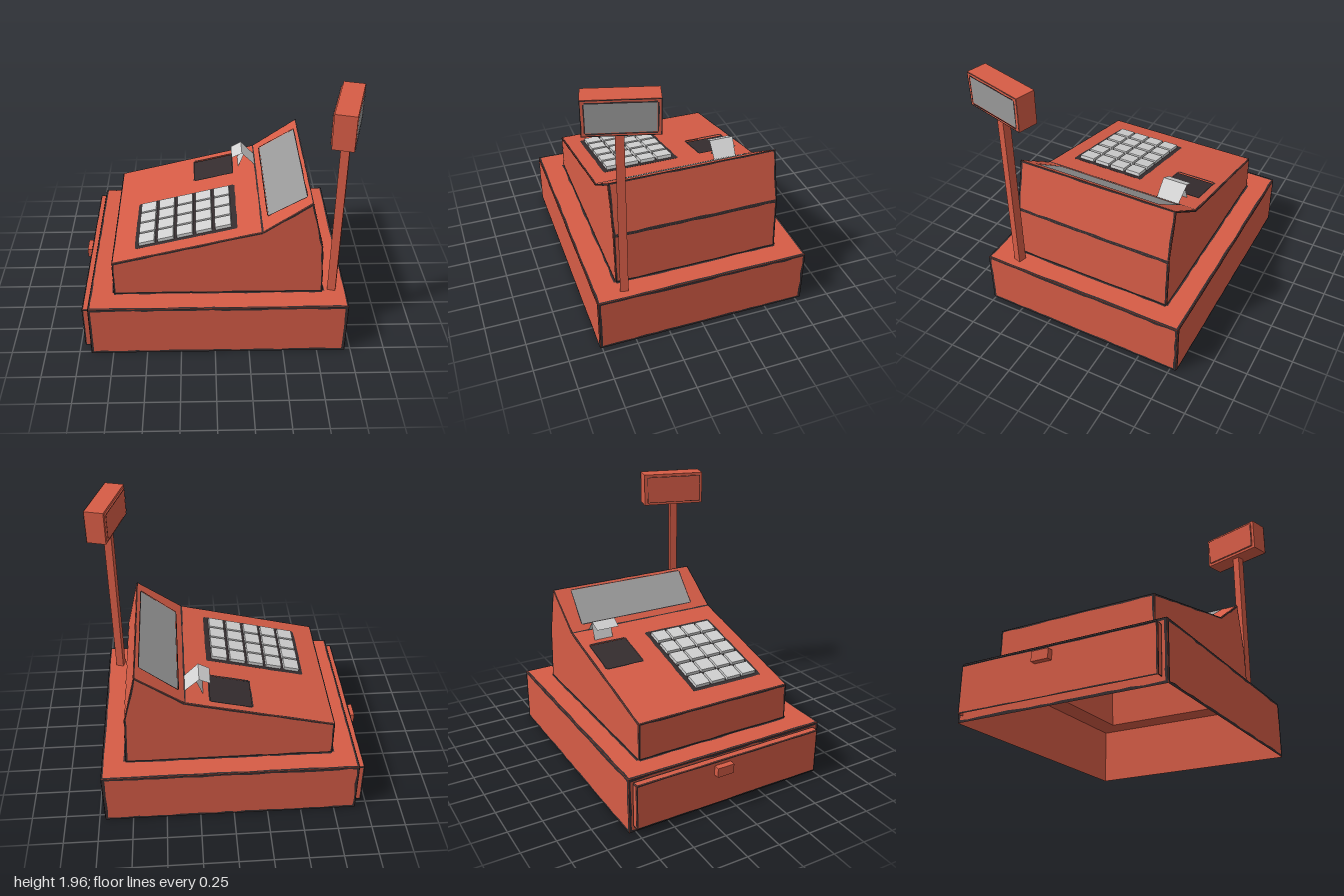
import * as THREE from 'three';

const paint = (name, color) => new THREE.MeshStandardMaterial({ name, color, side: THREE.DoubleSide });
const V = (x, y, z) => new THREE.Vector3(x, y, z);

export function createModel() {
  const root = new THREE.Group();
  root.name = 'cashRegister';
  const red = paint('red', 0xd65c46);
  const dark = paint('charcoal', 0x352d2f);
  const light = paint('lightGrey', 0xd2d2d2);
  const grey = paint('screenGrey', 0x999999);

  let seed = 7;
  const rand = () => (seed = (seed * 16807) % 2147483647) / 2147483647;

  function add(name, geo, mat, parent = root) {
    const m = new THREE.Mesh(geo, mat);
    m.name = name;
    parent.add(m);
    return m;
  }

  // Outward normal of a planar polygon
  function normalOf(pts) {
    const n = V(0, 0, 0);
    pts.forEach((p, i) => n.add(p.clone().cross(pts[(i + 1) % pts.length])));
    return n.normalize();
  }

  // Flat polygon in space, with optional holes
  function panel(name, pts, mat = red, holes = [], parent = root) {
    const n = normalOf(pts), u = pts[1].clone().sub(pts[0]).normalize(), v = n.clone().cross(u);
    const flat = (list) => list.map((p) => {
      const d = p.clone().sub(pts[0]);
      return new THREE.Vector2(d.dot(u), d.dot(v));
    });
    const shape = new THREE.Shape(flat(pts));
    shape.holes = holes.map((h) => new THREE.Path(flat(h)));
    const geo = new THREE.ShapeGeometry(shape);
    geo.applyMatrix4(new THREE.Matrix4().makeBasis(u, v, n).setPosition(pts[0]));
    return add(name, geo, mat, parent);
  }

  // Ragged dark line just inside (or, with negative width, outside) each edge
  function outline(name, pts, width = 0.016, parent = root) {
    const n = normalOf(pts), pos = [], idx = [];
    pts.forEach((a, k) => {
      const b = pts[(k + 1) % pts.length];
      const dir = b.clone().sub(a);
      const steps = Math.max(2, Math.round(dir.length() / 0.08));
      const inward = n.clone().cross(dir).normalize();
      for (let i = 0; i <= steps; i++) {
        const p = a.clone().addScaledVector(dir, i / steps).addScaledVector(n, 0.003);
        const q = p.clone().addScaledVector(inward, width * (0.7 + 0.6 * rand()));
        const o = pos.length / 3;
        pos.push(...p.toArray(), ...q.toArray());
        if (i < steps) idx.push(o, o + 2, o + 1, o + 2, o + 3, o + 1);
      }
    });
    const geo = new THREE.BufferGeometry();
    geo.setAttribute('position', new THREE.Float32BufferAttribute(pos, 3));
    geo.setIndex(idx);
    geo.computeVertexNormals();
    add(name, geo, dark, parent);
  }

  function edged(name, pts, width, holes, parent) {
    panel(name, pts, red, holes, parent);
    outline(name + 'Outline', pts, width, parent);
  }

  // Rectangle at a height, counter-clockwise from above
  const flatRect = (x0, x1, z0, z1, y) =>
    [[x0, z1], [x1, z1], [x1, z0], [x0, z0]].map(([x, z]) => V(x, typeof y === 'function' ? y(x) : y, z));

  // Four upright walls, outlined
  function walls(name, x0, x1, z0, z1, y0, y1, width, parent) {
    const c = [[x0, z1], [x1, z1], [x1, z0], [x0, z0]];
    c.forEach(([ax, az], i) => {
      const [bx, bz] = c[(i + 1) % 4];
      edged(name + 'Wall', [V(ax, y0, az), V(bx, y0, bz), V(bx, y1, bz), V(ax, y1, az)], width, [], parent);
    });
  }

  // Base: open underneath, with an opening below the body
  const deck = 0.415, zb = -0.625, zf = 0.585;
  const foot = flatRect(-0.735, 0.785, zb, zf, deck);
  walls('base', -0.91, 0.955, -0.795, 0.762, 0, deck, 0.018);
  edged('baseTop', flatRect(-0.91, 0.955, -0.795, 0.762, deck), 0.012, [foot]);
  outline('bodyFootOutline', foot, -0.016);

  // Drawer and its pull
  walls('drawer', -0.957, -0.91, -0.76, 0.72, 0.045, 0.38, 0.008);
  edged('drawerTop', flatRect(-0.957, -0.91, -0.76, 0.72, 0.38), 0.006);
  add('drawerPull', new THREE.BoxGeometry(0.045, 0.07, 0.13), red).position.set(-0.978, 0.315, -0.095);

  // Body: walls swept along the side profile
  const profile = [[-0.735, deck], [-0.735, 0.69], [0.335, 0.95], [0.675, 1.19], [0.765, 0.81], [0.785, deck]];
  const tilt = Math.atan2(0.26, 1.07);
  const slopeY = (x) => 0.69 + (x + 0.735) * 0.26 / 1.07;
  const keyHole = [-0.565, 0.155, -0.09, 0.465], slotHole = [-0.14, 0.155, -0.565, -0.275];
  const holes = [keyHole, slotHole].map((h) => flatRect(...h, slopeY));
  const names = ['bodyFront', 'keySlope', 'screenSlope', 'backUpper', 'backLower'];
  names.forEach((name, i) => {
    const [ax, ay] = profile[i], [bx, by] = profile[i + 1];
    edged(name, [V(ax, ay, zb), V(ax, ay, zf), V(bx, by, zf), V(bx, by, zb)],
      i === 1 || i === 2 ? 0.007 : 0.012, i === 1 ? holes : []);
  });
  edged('bodySide', profile.map(([x, y]) => V(x, y, zf)).reverse(), 0.012);
  edged('bodySide', profile.map(([x, y]) => V(x, y, zb)), 0.012);
  holes.forEach((h) => outline('openingOutline', h, -0.01));

  // Parts set on the key slope, raised by h along its normal
  function onSlope(name, lx, ly, lz, x, z, h, mat) {
    const m = add(name, new THREE.BoxGeometry(lx / Math.cos(tilt), ly, lz), mat);
    m.position.set(x - h * Math.sin(tilt), slopeY(x) + h * Math.cos(tilt), z);
    m.rotation.z = tilt;
  }
  onSlope('keyBed', 0.73, 0.01, 0.565, -0.205, 0.1875, -0.004, dark);
  for (let c = 0; c < 5; c++)
    for (let r = 0; r < 4; r++)
      onSlope('key', 0.114, 0.05, 0.114, -0.488 + c * 0.1385, -0.008 + r * 0.131, 0.001, light);
  onSlope('printerSlot', 0.33, 0.01, 0.33, 0.0075, -0.42, -0.022, dark);

  // Receipt paper curling out of the printer
  function strip(name, path) {
    path.slice(1).forEach((b, i) => {
      const a = path[i];
      panel(name, [V(a[0], a[1], a[2]), V(a[0], a[1], a[3]), V(b[0], b[1], b[3]), V(b[0], b[1], b[2])].reverse(), light);
    });
  }
  strip('receipt', [[0.15, 1.015, -0.5, -0.325], [0.23, 1.056, -0.505, -0.32], [0.335, 0.95, -0.49, -0.32]]);
  strip('receiptStem', [[0.2, 0.91, -0.5, -0.35], [0.25, 1.035, -0.5, -0.35]]);

  // Operator screen, slightly skewed on the steep slope
  const lift = (x, z) => V(x - 0.003, 0.95 + (x - 0.335) * 0.24 / 0.34 + 0.005, z);
  const screen = [lift(0.385, 0.44), lift(0.645, 0.48), lift(0.645, -0.49), lift(0.385, -0.52)];
  panel('operatorScreen', screen, grey);
  outline('operatorScreenOutline', screen, -0.008);

  // Customer display on a pole, turned outward
  const tower = new THREE.Group();
  tower.name = 'customerDisplay';
  tower.position.set(0.863, 0, 0.537);
  tower.rotation.y = -0.27;
  root.add(tower);
  add('pole', new THREE.BoxGeometry(0.06, 1.3, 0.058), red, tower).position.set(0, 1.065, 0.012);
  add('displayHead', new THREE.BoxGeometry(0.145, 0.25, 0.485), red, tower).position.y = 1.835;
  add('displayBack', new THREE.BoxGeometry(0.01, 0.21, 0.44), red, tower).position.set(-0.077, 1.835, 0);
  const face = (hy, hz, x) => [V(x, 1.835 - hy, hz), V(x, 1.835 - hy, -hz), V(x, 1.835 + hy, -hz), V(x, 1.835 + hy, hz)];
  panel('displayScreen', face(0.1, 0.215, 0.075), grey, [], tower);
  outline('displayScreenOutline', face(0.1, 0.215, 0.075), -0.01, tower);
  outline('displayRim', face(0.125, 0.2425, 0.0725), 0.006, tower);
  outline('displayBackOutline', face(0.105, 0.22, -0.083).reverse(), 0.004, tower);
  return root;
}
